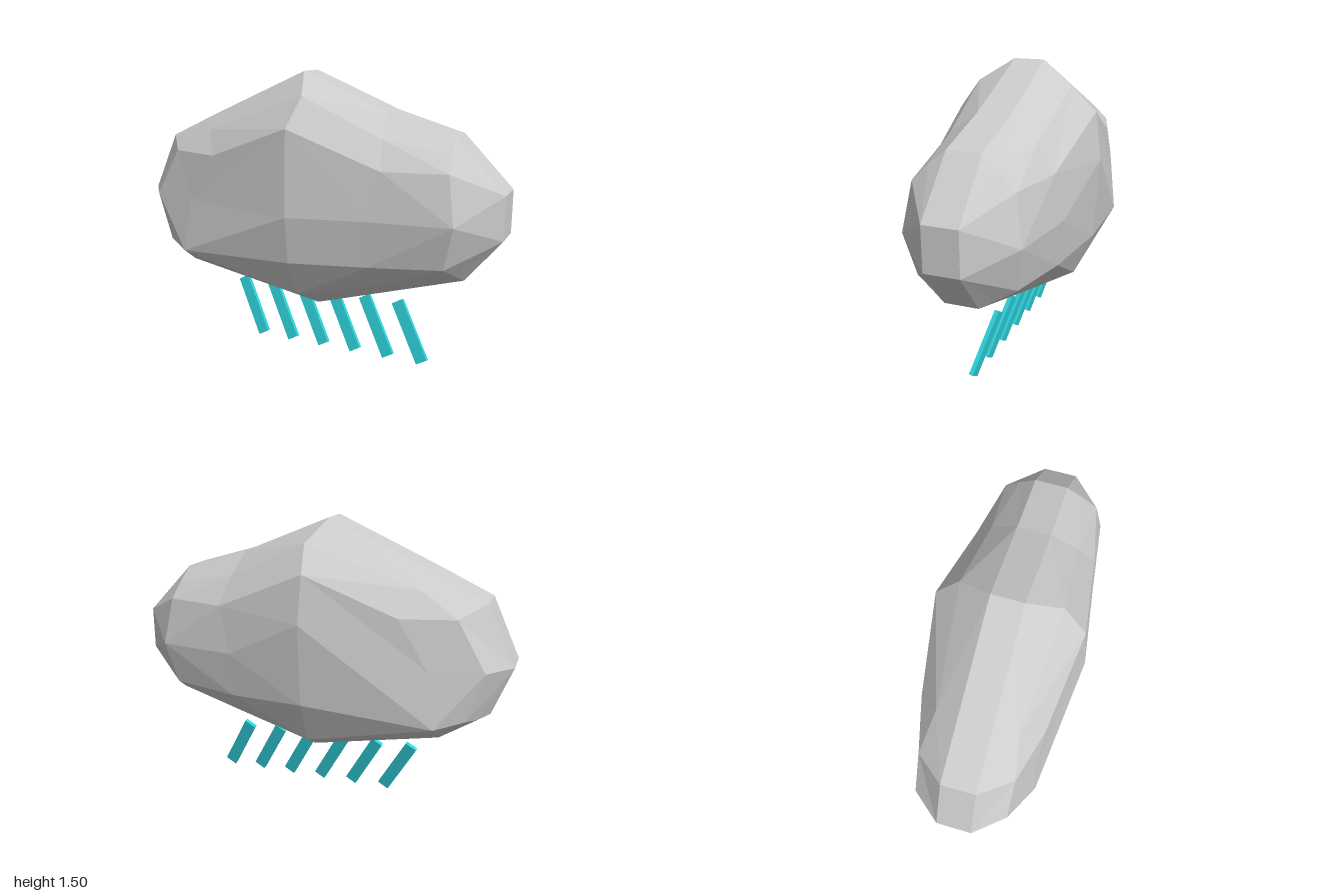
import * as THREE from 'three';

// Half cross-sections from left end to right end; each runs top to bottom as [x, y, z]
const tip = (x, ys) => ys.map(y => [x, y, 0.088]);
const sections = [
  tip(-1, [0.82, 0.82, 0.82, 0.82, 0.82, 0.82, 0.82]),
  [[-0.86, 1.13, 0.085], [-0.8, 1.1, 0.16], [-0.74, 1.07, 0.235], [-0.88, 0.82, 0.235], [-0.8, 0.57, 0.24], [-0.85, 0.56, 0.16], [-0.9, 0.57, 0.085]],
  [[-0.6, 1.253, 0.083], [-0.55, 1.19, 0.2], [-0.47, 1.07, 0.31], [-0.62, 0.82, 0.3], [-0.66, 0.54, 0.325], [-0.67, 0.46, 0.21], [-0.69, 0.44, 0.085]],
  [[-0.05, 1.5, 0.08], [0.02, 1.39, 0.25], [-0.01, 1.24, 0.37], [0, 0.81, 0.405], [0, 0.57, 0.375], [0, 0.375, 0.275], [0.03, 0.27, 0.08]],
  [[0.41, 1.31, 0.085], [0.43, 1.2, 0.225], [0.46, 1.06, 0.315], [0.4, 0.82, 0.345], [0.4, 0.585, 0.315], [0.42, 0.46, 0.2], [0.44, 0.395, 0.085]],
  [[0.75, 1.21, 0.085], [0.76, 1.14, 0.17], [0.77, 1.06, 0.25], [0.81, 0.82, 0.29], [0.76, 0.6, 0.25], [0.79, 0.55, 0.16], [0.82, 0.51, 0.085]],
  tip(1, [0.95, 0.95, 0.95, 0.84, 0.73, 0.73, 0.73]),
];

// Loft the sections into a closed faceted body
function cloudGeometry() {
  const rings = sections.map((half, s) => {
    const front = half.map(p => new THREE.Vector3(...p));
    const back = half.map(([x, y, z], k) => {
      // the back bulges a little higher at the middle
      const lift = s === 3 ? [0, 0, 0.02, 0.21, 0.03, 0, 0][k] : 0;
      return new THREE.Vector3(x, y + lift, -z);
    }).reverse();
    return [...front, ...back];
  });
  const centre = new THREE.Vector3(0, 0.85, 0);
  const pos = [];
  const tri = (a, b, c) => {
    const n = b.clone().sub(a).cross(c.clone().sub(a));
    if (n.length() > 1e-6) for (const p of [a, b, c]) pos.push(p.x, p.y, p.z);
  };
  // split each quad along its more outward diagonal
  const reach = (p, q) => p.clone().lerp(q, 0.5).distanceTo(centre);
  const quad = (a, b, c, d) => {
    if (reach(a, c) > reach(b, d)) { tri(a, b, c); tri(a, c, d); }
    else { tri(a, b, d); tri(b, c, d); }
  };
  for (let i = 0; i < rings.length - 1; i++) {
    const r = rings[i], q = rings[i + 1], n = r.length;
    for (let j = 0; j < n; j++) {
      const k = (j + 1) % n;
      quad(r[j], r[k], q[k], q[j]);
    }
  }
  // flat right end
  const end = rings[rings.length - 1];
  for (let j = 1; j < end.length - 1; j++) tri(end[0], end[j], end[j + 1]);

  const g = new THREE.BufferGeometry();
  g.setAttribute('position', new THREE.Float32BufferAttribute(pos, 3));
  g.computeVertexNormals();
  return g;
}

export function createModel() {
  const model = new THREE.Group();
  model.name = 'rainCloud';

  const cloud = new THREE.Mesh(cloudGeometry(),
    new THREE.MeshStandardMaterial({ color: 0xcccccc, flatShading: true }));
  cloud.name = 'cloud';
  model.add(cloud);

  // Row of slanted rain streaks under the cloud
  const rain = new THREE.Group();
  rain.name = 'rain';
  const rainMaterial = new THREE.MeshStandardMaterial({ color: 0x2fd3dc });
  const streak = new THREE.BoxGeometry(0.065, 0.34, 0.022);
  const along = new THREE.Vector3(-0.169, 0.29, -0.073).normalize();
  const across = new THREE.Vector3(0.29, 0.169, 0).normalize();
  const slant = new THREE.Matrix4().makeBasis(across, along, across.clone().cross(along));
  for (let i = 0; i < 6; i++) {
    const drop = new THREE.Mesh(streak, rainMaterial);
    drop.name = 'rainStreak' + (i + 1);
    drop.quaternion.setFromRotationMatrix(slant);
    drop.position.set(-0.411 + i * 0.188, 0.163, 0.013);
    rain.add(drop);
  }
  model.add(rain);
  return model;
}
